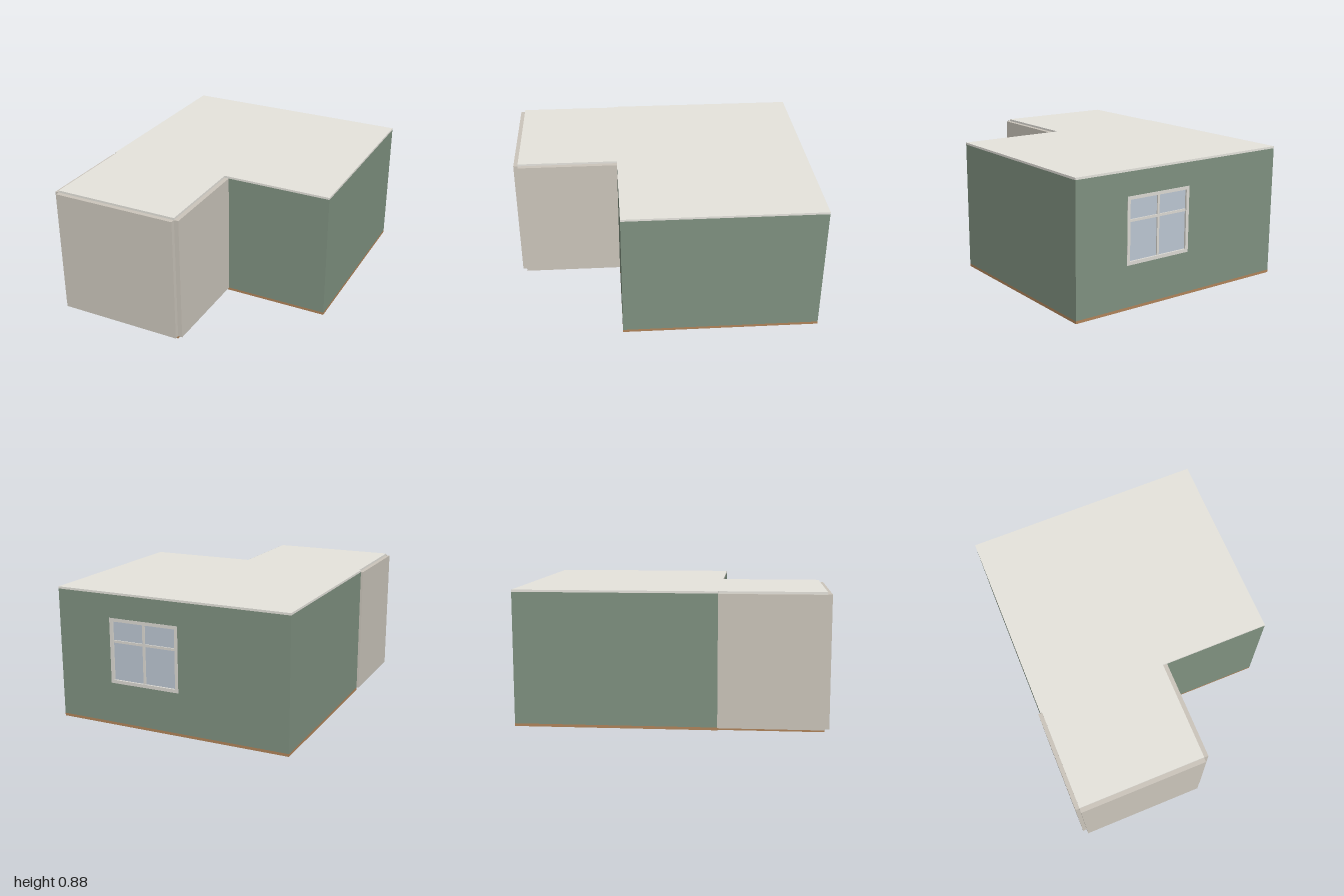
import * as THREE from 'three';

const mat = (color) => new THREE.MeshStandardMaterial({ color });
const GREEN = mat(0x7f9180), PLASTER = mat(0xcbc5bb), CEILING = mat(0xe6e4dd);
const WOOD = mat(0xb0845a), FRAME = mat(0xdcdad4), GLASS = mat(0xbcc6d2);

// Main room, porch room and levels
const X0 = -0.795, X1 = 0.805, ZB = -1, ZM = 0.3;
const PX0 = -0.783, PX1 = 0.065, ZF = 0.97;
const T = 0.03, Y0 = 0.018, Y1 = 0.866, TOP = 0.88;

export function createModel() {
  const model = new THREE.Group();

  const add = (name, geometry, material, parent = model) => {
    const mesh = new THREE.Mesh(geometry, material);
    mesh.name = name;
    parent.add(mesh);
    return mesh;
  };

  // Box given by its limits on each axis
  const box = (name, [xa, xb], [ya, yb], [za, zb], material, parent) =>
    add(name, new THREE.BoxGeometry(xb - xa, yb - ya, zb - za), material, parent)
      .position.set((xa + xb) / 2, (ya + yb) / 2, (za + zb) / 2);

  // L-shaped slab following both rooms
  const slab = (name, bottom, top, material) => {
    const plan = new THREE.Shape([
      [X0, ZB], [X1, ZB], [X1, ZM], [PX1, ZM],
      [PX1, ZF], [PX0, ZF], [PX0, ZM], [X0, ZM],
    ].map(([x, z]) => new THREE.Vector2(x, z)));
    const geometry = new THREE.ExtrudeGeometry(plan, { depth: top - bottom, bevelEnabled: false });
    geometry.rotateX(Math.PI / 2);
    add(name, geometry, material).position.y = top;
  };
  slab('floor', 0, Y0, WOOD);
  slab('ceiling', Y1, TOP, CEILING);

  const rect = (Kind, xa, xb, ya, yb) => new Kind([
    [xa, ya], [xb, ya], [xb, yb], [xa, yb],
  ].map(([x, y]) => new THREE.Vector2(x, y)));

  // Wall across x with one rectangular opening
  const openWall = (name, z, opening) => {
    const shape = rect(THREE.Shape, X0, X1, Y0, Y1);
    shape.holes.push(rect(THREE.Path, ...opening));
    add(name, new THREE.ExtrudeGeometry(shape, { depth: T, bevelEnabled: false }), GREEN).position.z = z;
  };
  const win = [-0.055, 0.43, 0.285, 0.715];
  openWall('backWall', ZB, win);
  openWall('doorwayWall', ZM - T, [-0.42, -0.03, Y0 + 0.001, 0.72]);

  // Main room side walls
  box('rightWall', [X0, X0 + T], [Y0, Y1], [ZB + T, ZM - T], GREEN);
  box('leftWall', [X1 - T, X1], [Y0, Y1], [ZB + T, ZM - T], GREEN);

  // Porch walls stand just outside the floor edge
  box('porchRightWall', [PX0 - 0.027, PX0], [Y0, Y1], [ZM, ZF], PLASTER);
  box('porchLeftWall', [PX1, PX1 + T], [Y0, Y1], [ZM, ZF], PLASTER);
  box('porchFrontWall', [PX0, PX1], [Y0, Y1], [ZF, ZF + T], PLASTER);

  // Window: frame, glazing bars and recessed glass
  const windowGroup = new THREE.Group();
  windowGroup.name = 'window';
  model.add(windowGroup);
  const [xa, xb, ya, yb] = win, F = 0.022, B = 0.008;
  const xm = (xa + xb) / 2, ym = 0.562;
  const frame = rect(THREE.Shape, xa, xb, ya, yb);
  frame.holes.push(rect(THREE.Path, xa + F, xb - F, ya + F, yb - F));
  add('windowFrame', new THREE.ExtrudeGeometry(frame, { depth: T + 0.002, bevelEnabled: false }),
    FRAME, windowGroup).position.z = ZB - 0.001;
  const barZ = [ZB + 0.004, ZB + 0.024];
  box('verticalBar', [xm - B, xm + B], [ya + F, yb - F], barZ, FRAME, windowGroup);
  for (const [a, b] of [[xa + F, xm - B], [xm + B, xb - F]]) {
    box('horizontalBar', [a, b], [ym - B, ym + B], barZ, FRAME, windowGroup);
  }
  box('glass', [xa + F, xb - F], [ya + F, yb - F], [ZB + 0.012, ZB + 0.016], GLASS, windowGroup);

  return model;
}
